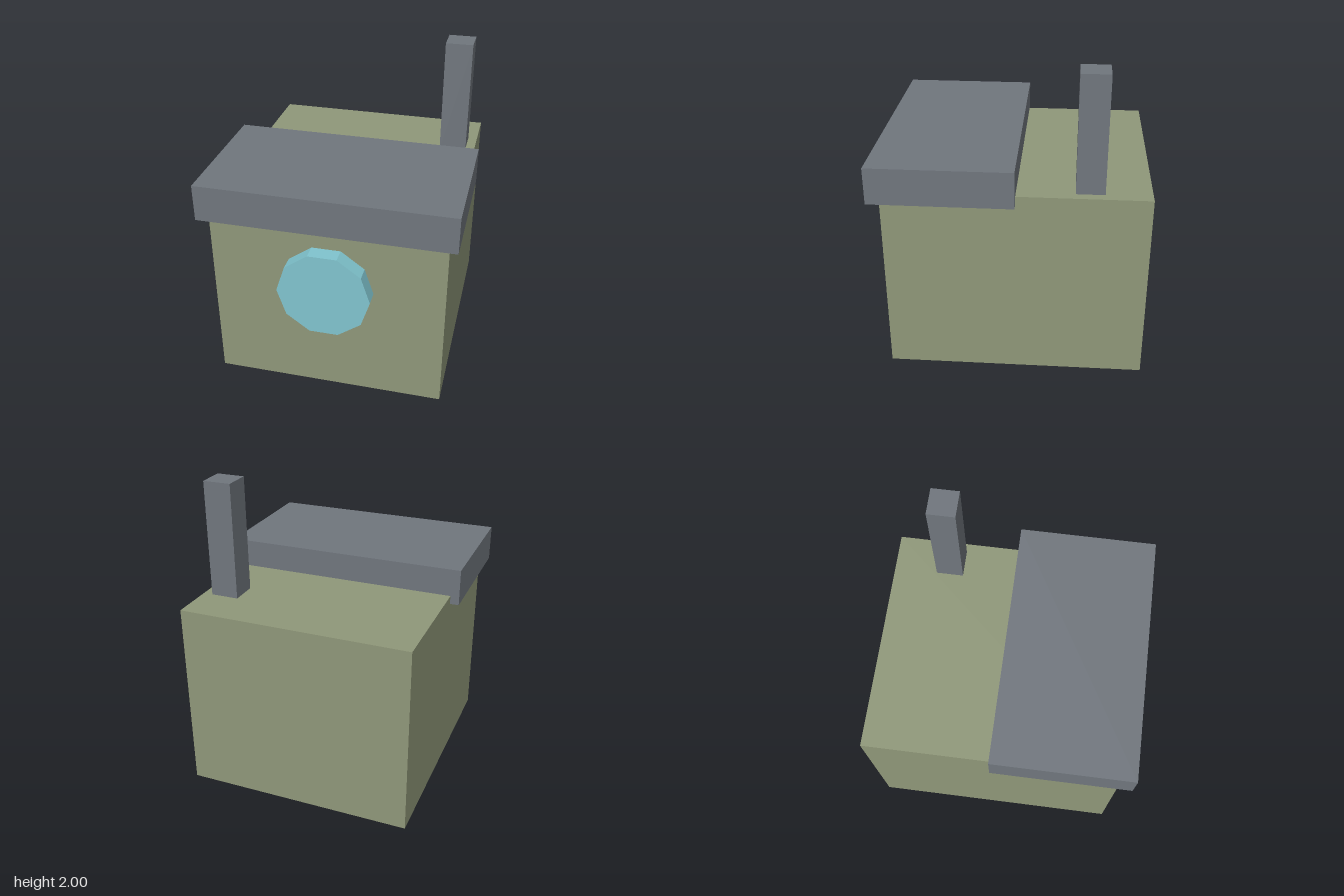
import * as THREE from 'three';

export function createModel() {
  const group = new THREE.Group();
  const material = (name, color) => {
    const m = new THREE.MeshStandardMaterial({ color, flatShading: true });
    m.name = name;
    return m;
  };
  const olive = material('olive', 0x8f9779);
  const slate = material('slate grey', 0x70767d);
  const charcoal = material('charcoal', 0x45494d);
  const aqua = material('aqua', 0x80c4ce);

  const add = (name, geometry, mat, x, y, z) => {
    const mesh = new THREE.Mesh(geometry, mat);
    mesh.name = name;
    mesh.position.set(x, y, z);
    group.add(mesh);
    return mesh;
  };
  // Box given by its lower and upper limits on each axis
  const box = (name, mat, [x0, x1], [y0, y1], [z0, z1]) =>
    add(name, new THREE.BoxGeometry(x1 - x0, y1 - y0, z1 - z0), mat,
      (x0 + x1) / 2, (y0 + y1) / 2, (z0 + z1) / 2);

  // Head block, overhanging brow and antenna
  box('head', olive, [-0.65, 0.65], [0.263, 1.35], [-0.76, 0.673]);
  box('brow', slate, [-0.7, 0.7], [1.302, 1.508], [-0.045, 0.735]);
  box('antenna', slate, [0.44, 0.597], [1.33, 2], [-0.512, -0.357]);

  // Octagonal neck
  add('neck', new THREE.CylinderGeometry(0.311, 0.311, 0.275, 8), charcoal, 0, 0.1375, -0.045);

  // Ten-sided eye with flat edges at top and bottom
  const eye = new THREE.CylinderGeometry(0.259, 0.259, 0.1, 10);
  eye.rotateY(Math.PI / 10).rotateX(Math.PI / 2);
  add('eye', eye, aqua, 0, 0.938, 0.71);

  return group;
}
